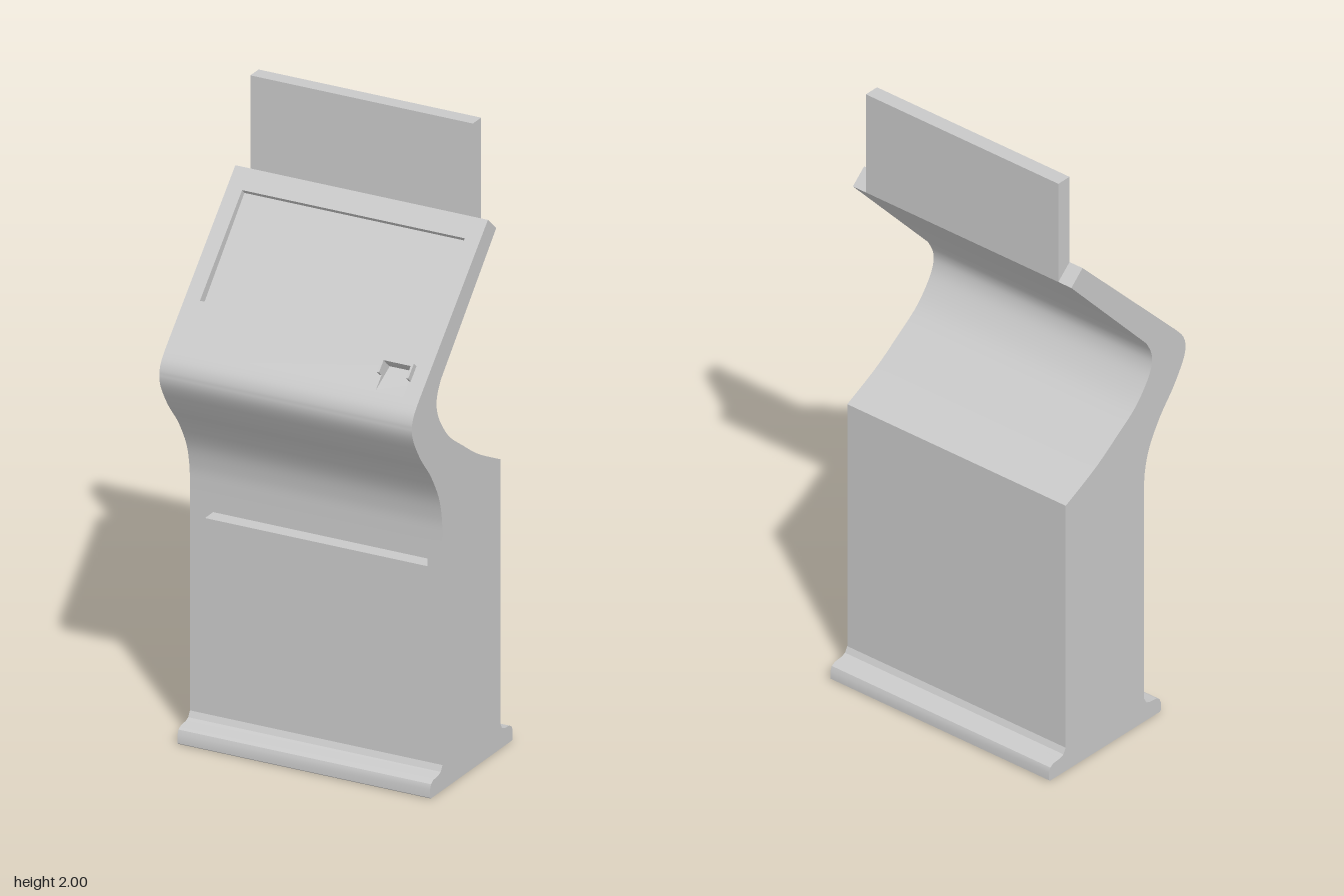
import * as THREE from 'three';
import { mergeGeometries, toCreasedNormals } from 'three/addons/utils/BufferGeometryUtils.js';

// All profiles are lists of [z, y] points, swept along x.
const HALF = 0.42, INNER = 0.37;

const spline = (pts, n) =>
  new THREE.SplineCurve(pts.map(p => new THREE.Vector2(...p))).getPoints(n).map(p => [p.x, p.y]);

// Open skin swept from x0 to x1, facing outward for a profile running up the front
function strip(profile, x0, x1) {
  const pos = [];
  for (let i = 0; i < profile.length - 1; i++) {
    const [z0, y0] = profile[i], [z1, y1] = profile[i + 1];
    pos.push(x0, y0, z0, x1, y0, z0, x1, y1, z1, x0, y0, z0, x1, y1, z1, x0, y1, z1);
  }
  return new THREE.BufferGeometry().setAttribute('position', new THREE.Float32BufferAttribute(pos, 3));
}

const toShape = pts => new THREE.Shape(pts.map(p => new THREE.Vector2(...p)));

// Flat wall at x, facing +x or -x
function wall(pts, x, facing) {
  const g = new THREE.ShapeGeometry(toShape(pts));
  if (facing > 0) g.setIndex(Array.from(g.index.array).reverse());
  g.rotateY(-Math.PI / 2).translate(x, 0, 0);
  g.deleteAttribute('uv');
  g.deleteAttribute('normal');
  return g.toNonIndexed();
}

// Closed solid swept from x0 to x1
function solid(pts, x0, x1) {
  const g = new THREE.ExtrudeGeometry(toShape(pts), { depth: x1 - x0, bevelEnabled: false });
  g.rotateY(-Math.PI / 2).translate(x1, 0, 0);
  return toCreasedNormals(g, 0.6);
}

export function createModel() {
  const group = new THREE.Group();
  const grey = new THREE.MeshStandardMaterial({ color: 0xc8c8c8 });
  grey.name = 'light grey';
  const add = (name, geometry) => {
    const mesh = new THREE.Mesh(geometry, grey);
    mesh.name = name;
    group.add(mesh);
  };

  // Recess outlines, from lower lip to upper lip
  const slot = [[0.12, 0.70], [0.07, 0.70], [0.07, 0.775], [0.12, 0.775]];
  const pocket = [[0.26, 1.29], [0.175, 1.335], [0.197, 1.353]];
  const screen = [[0.15, 1.40], [0.129, 1.379], [-0.119, 1.641], [-0.105, 1.655]];
  const lips = r => [r[0], r[r.length - 1]];

  // Body outline: up the front, over the top edge and down the back
  const nose = spline([[0.12, 0.80], [0.123, 0.86], [0.142, 0.935], [0.19, 1.02], [0.25, 1.095],
    [0.293, 1.165], [0.305, 1.21], [0.294, 1.25], [0.26, 1.29]], 40).slice(0, -1);
  const back = spline([[0.13, 1.305], [0.151, 1.265], [0.155, 1.225], [0.135, 1.175],
    [0.08, 1.107], [0, 1.049], [-0.1, 0.983], [-0.23, 0.918]], 32);
  const outline = (s, p, d) => [[0.12, 0.05], ...s, ...nose, ...p, ...d,
    [-0.155, 1.705], [-0.205, 1.66], ...back, [-0.23, 0.05]];
  const plain = outline(lips(slot), lips(pocket), lips(screen));
  const recessed = outline(slot, lips(pocket), screen);
  const withPocket = outline(slot, pocket, screen);

  // Body skin in bands across the width, plus side walls and recess ends
  const P0 = 0.275, P1 = 0.365;
  add('body', toCreasedNormals(mergeGeometries([
    strip(plain, -HALF, -INNER),
    strip(recessed, -INNER, P0),
    strip(withPocket, P0, P1),
    strip(recessed, P1, INNER),
    strip(plain, INNER, HALF),
    wall(plain, -HALF, -1), wall(plain, HALF, 1),
  ]), 0.5));
  for (const [name, r, x0, x1] of [['screenRecessEnds', screen, -INNER, INNER],
    ['slotEnds', slot, -INNER, INNER], ['readerPocketEnds', pocket, P0, P1]]) {
    add(name, toCreasedNormals(mergeGeometries([wall(r, x0, 1), wall(r, x1, -1)]), 0.5));
  }

  // Raised hood around the reader pocket: two cheeks and a top bar
  const cheek = [[0.225, 1.325], [0.24, 1.34], [0.205, 1.375], [0.19, 1.36]];
  add('readerHoodRight', solid(cheek, P0 - 0.007, P0));
  add('readerHoodLeft', solid(cheek, P1, P1 + 0.007));
  add('readerHoodTop', solid([[0.197, 1.353], [0.212, 1.368], [0.205, 1.375], [0.19, 1.36]], P0, P1));

  // Upright sign panel behind the top edge
  add('signPanel', solid([[-0.155, 1.705], [-0.155, 2], [-0.205, 2], [-0.205, 1.66]], -INNER, INNER));

  // Foot with rounded toes blending into the body
  const toe = [[0.07, 0], [0.075, 0.004], [0.075, 0.03], [0.069, 0.045], [0.055, 0.053],
    [0.025, 0.056], [0.01, 0.062], [0, 0.08]];
  const front = toe.map(([d, y]) => [0.125 + d - 0.005, y]);
  const rear = toe.map(([d, y]) => [-0.23 - d, y]).reverse();
  add('foot', solid([...front, ...rear], -HALF, HALF));

  return group;
}
